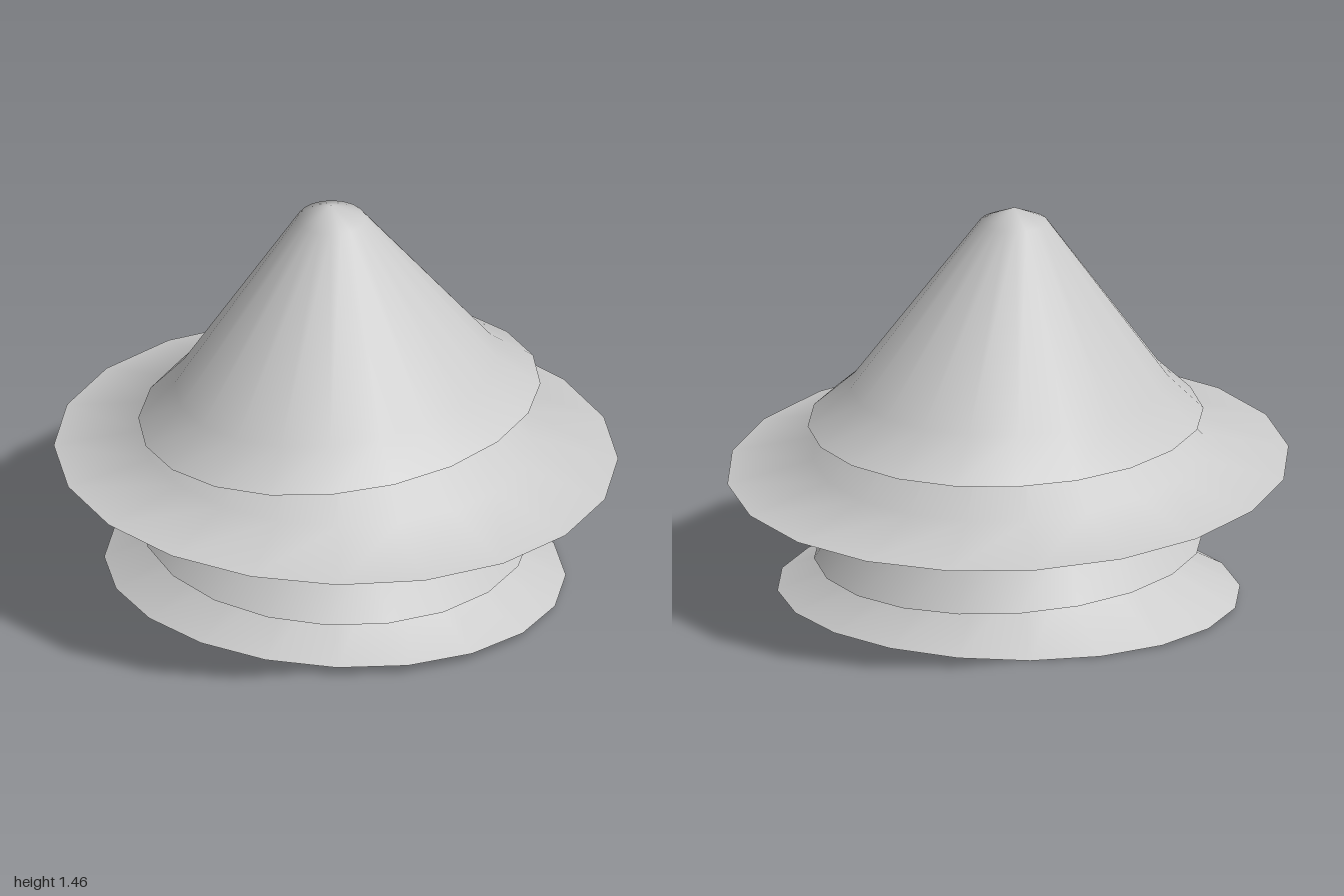
import * as THREE from 'three';

const SIDES = 20;

// A ring is { c: centre, u: arm towards +x, v: arm towards -z };
// its points are c + u cos t + v sin t, so it can tilt and shear.
const ring = (c, u, v) => ({ c: new THREE.Vector3(...c), u: new THREE.Vector3(...u), v: new THREE.Vector3(...v) });
const level = (x, y, z, r) => ring([x, y, z], [r, 0, 0], [0, 0, -r]);

// Open smooth shell through the rings from rim to top, closed by a single tip
function shell(rings, tip) {
  const positions = [];
  const index = [];
  for (const { c, u, v } of rings) {
    for (let j = 0; j < SIDES; j++) {
      const t = (j / SIDES) * Math.PI * 2;
      const p = c.clone().addScaledVector(u, Math.cos(t)).addScaledVector(v, Math.sin(t));
      positions.push(p.x, p.y, p.z);
    }
  }
  const tipIndex = rings.length * SIDES;
  positions.push(...tip);
  for (let i = 0; i < rings.length; i++) {
    for (let j = 0; j < SIDES; j++) {
      const a = i * SIDES + j;
      const b = i * SIDES + ((j + 1) % SIDES);
      if (i === rings.length - 1) index.push(a, b, tipIndex);
      else index.push(a, b, b + SIDES, a, b + SIDES, a + SIDES);
    }
  }
  const geometry = new THREE.BufferGeometry();
  geometry.setAttribute('position', new THREE.Float32BufferAttribute(positions, 3));
  geometry.setIndex(index);
  geometry.computeVertexNormals();
  return geometry;
}

export function createModel() {
  const group = new THREE.Group();
  group.name = 'tieredTree';
  const material = new THREE.MeshStandardMaterial({ color: 0xcccccc, side: THREE.DoubleSide });

  const tiers = {
    // Flared skirt on the ground
    bottomTier: [[
      ring([0, 0.022, 0.01], [0.825, 0.003, 0], [0, -0.018, -0.72]),
      ring([-0.01, 0.2, -0.01], [0.47, -0.01, 0], [0, -0.01, -0.43]),
      level(-0.01, 0.74, -0.01, 0.11),
    ], [-0.01, 0.79, -0.01]],
    // Steep bell
    lowerTier: [[
      ring([0, 0.184, 0.005], [0.685, -0.027, 0], [0, -0.02, -0.705]),
      ring([-0.01, 0.38, 0], [0.555, -0.01, 0], [0, -0.015, -0.56]),
      level(0, 1.08, -0.02, 0.11),
    ], [0, 1.13, -0.02]],
    // Wide, tilted brim
    brimTier: [[
      ring([0, 0.484, 0], [0.992, -0.018, -0.045], [-0.04, -0.055, -0.995]),
      ring([0, 0.553, -0.005], [0.69, -0.01, -0.03], [-0.03, -0.04, -0.695]),
      level(-0.02, 1.23, -0.03, 0.1),
    ], [-0.02, 1.28, -0.03]],
    // Tall cap with a blunt tip
    topTier: [[
      ring([0, 0.675, -0.035], [0.67, 0.025, -0.105], [0, -0.015, -0.72]),
      ring([-0.01, 0.803, -0.025], [0.54, 0.018, -0.08], [0, -0.005, -0.57]),
      level(-0.033, 1.413, -0.045, 0.12),
    ], [-0.035, 1.465, -0.045]],
  };

  for (const [name, [rings, tip]] of Object.entries(tiers)) {
    const mesh = new THREE.Mesh(shell(rings, tip), material);
    mesh.name = name;
    group.add(mesh);
  }
  return group;
}
